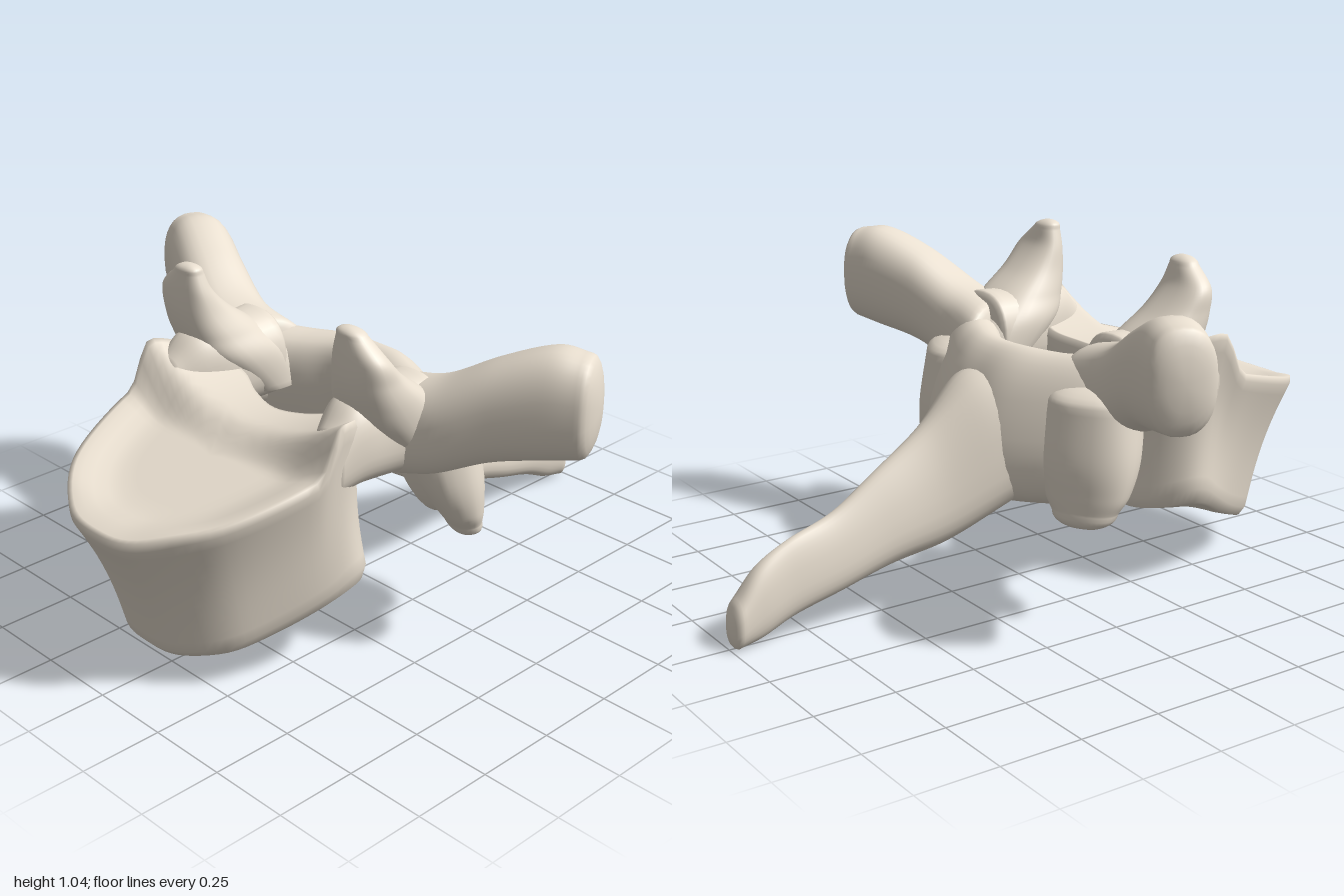
import * as THREE from 'three';
import { mergeVertices } from 'three/addons/utils/BufferGeometryUtils.js';

const bone = new THREE.MeshStandardMaterial({ color: 0xe9dfd0, roughness: 0.8 });
const V = (x, y, z) => new THREE.Vector3(x, y, z);
const step = THREE.MathUtils.smoothstep;

// Closed skin over a list of equally long rings; turned outward by its signed volume
function skin(rings) {
  const n = rings[0].length;
  const pos = rings.flat().flatMap((p) => [p.x, p.y, p.z]);
  const tris = [];
  for (let r = 0; r < rings.length - 1; r++) {
    for (let i = 0; i < n; i++) {
      const j = (i + 1) % n;
      const a = r * n + i, b = r * n + j, c = a + n, d = b + n;
      tris.push([a, b, d], [a, d, c]);
    }
  }
  const at = (i) => V(pos[3 * i], pos[3 * i + 1], pos[3 * i + 2]);
  let volume = 0;
  for (const [a, b, c] of tris) volume += at(a).dot(at(b).cross(at(c)));
  let geo = new THREE.BufferGeometry();
  geo.setAttribute('position', new THREE.Float32BufferAttribute(pos, 3));
  geo.setIndex(tris.flatMap(([a, b, c]) => (volume < 0 ? [a, c, b] : [a, b, c])));
  geo = mergeVertices(geo, 1e-5);
  geo.computeVertexNormals();
  return geo;
}

// Smooth loft. Section: [x, y, z, half size along u, half size along v, taper towards +v]
function loft(sections, u, v, cap = 0.03, side = 1) {
  const centres = new THREE.CatmullRomCurve3(sections.map((s) => V(s[0], s[1], s[2])), false, 'catmullrom');
  const sizes = new THREE.CatmullRomCurve3(sections.map((s) => V(s[3], s[4], s[5] || 0)), false, 'catmullrom');
  const ring = (t, scale, push) => {
    const c = centres.getPoint(t).addScaledVector(centres.getTangent(t), push);
    const s = sizes.getPoint(t);
    return Array.from({ length: 32 }, (_, i) => {
      const a = (i / 32) * Math.PI * 2;
      const soft = (w) => Math.sign(w) * Math.abs(w) ** 0.83;
      const h = soft(Math.sin(a));
      const p = c.clone()
        .addScaledVector(u, soft(Math.cos(a)) * s.x * (1 - s.z * h) * scale)
        .addScaledVector(v, h * s.y * scale);
      p.x *= side;
      return p;
    });
  };
  const rings = [];
  const capSteps = 6;
  for (let k = 0; k < capSteps; k++) {
    const a = (1 - k / capSteps) * Math.PI / 2;
    rings.push(ring(0, k ? Math.cos(a) : 0, -cap * Math.sin(a)));
  }
  const count = (sections.length - 1) * 8;
  for (let i = 0; i <= count; i++) rings.push(ring(i / count, 1, 0));
  for (let k = 1; k <= capSteps; k++) {
    const a = (k / capSteps) * Math.PI / 2;
    rings.push(ring(1, k < capSteps ? Math.cos(a) : 0, cap * Math.sin(a)));
  }
  return skin(rings);
}

// Heart-shaped block with tilted end plates, a raised rear rim and a foot narrowing to the front
function bodyGeometry() {
  const half = [[0, 1], [0.15, 0.972], [0.31, 0.84], [0.4, 0.645], [0.43, 0.46],
    [0.37, 0.34], [0.23, 0.26], [0.11, 0.3], [0, 0.325]];
  const mirrored = half.slice(1, -1).reverse().map(([x, z]) => [-x, z]);
  const outline = new THREE.CatmullRomCurve3(
    [...half, ...mirrored].map(([x, z]) => V(x, 0, z)), true, 'catmullrom').getPoints(96).slice(0, -1);
  const topY = (x, z) => 0.52 + 0.28 * (1 - Math.max(z, 0.48)) + 0.018 * step(-z, -1, -0.88)
    + step(-z, -0.54, -0.45) * 0.72 * x * x;
  const top = (p, s) => {
    const x = p.x * s, z = 0.58 + (p.z - 0.58) * s;
    return V(x, topY(x, z) - 0.04 * step(1 - s, 0.03, 0.4) * step(z, 0.44, 0.56), z);
  };
  const bottom = (p, s) => {
    const narrow = 0.99 - 0.19 * step(p.z, 0.35, 0.8);
    const x = p.x * s * narrow, z = 0.25 + (0.58 + (p.z - 0.58) * s - 0.26) * 0.785;
    const lift = 1.9 * Math.max(0, Math.abs(x) - 0.2) ** 2;
    return V(x, 0.24 - (z - 0.27) * 0.27 + lift + 0.025 * step(1 - s, 0.04, 0.5), z);
  };
  const wall = (p, t) => {
    const q = bottom(p, 1).lerp(top(p, 1), t);
    const waist = Math.sin(Math.PI * t);
    q.x *= 1 - 0.055 * waist;
    q.z = 0.52 + (q.z - 0.52) * (1 - 0.05 * waist);
    return q;
  };
  const rings = [];
  for (const s of [0, 0.25, 0.5, 0.7, 0.85, 0.92, 0.96]) rings.push(outline.map((p) => bottom(p, s)));
  for (let i = 0; i <= 12; i++) rings.push(outline.map((p) => wall(p, 0.06 + 0.89 * i / 12)));
  for (const s of [0.975, 0.94, 0.88, 0.8, 0.7, 0.6, 0.5, 0.4, 0.3, 0.2, 0.1, 0]) {
    rings.push(outline.map((p) => top(p, s)));
  }
  return skin(rings);
}

export function createModel() {
  const model = new THREE.Group();
  model.name = 'vertebra';
  const add = (name, geo) => {
    const mesh = new THREE.Mesh(geo, bone);
    mesh.name = name;
    model.add(mesh);
  };
  const X = V(1, 0, 0), Y = V(0, 1, 0), Z = V(0, 0, 1);

  add('vertebralBody', bodyGeometry());

  // Sloping plate that closes the canal at the rear
  const lamina = [[0.43, 0.57, 0.05, 0.17, 0.07], [0.34, 0.56, 0.02, 0.22, 0.11],
    [0.2, 0.55, -0.06, 0.23, 0.11], [0.1, 0.555, -0.11, 0.23, 0.095]];
  const flip = lamina.map(([x, ...rest]) => [-x, ...rest]).reverse();
  add('lamina', loft([...lamina, [0, 0.555, -0.125, 0.23, 0.085], ...flip],
    V(0, 0.93, 0.36), V(0, -0.36, 0.93), 0.05));

  // Long spine sloping down to the rear, sharper along its top
  add('spinousProcess', loft([
    [0, 0.53, -0.08, 0.27, 0.18, 0.2], [0, 0.475, -0.2, 0.2, 0.2, 0.35],
    [0, 0.375, -0.35, 0.13, 0.175, 0.5], [0, 0.305, -0.5, 0.084, 0.145, 0.5],
    [0, 0.23, -0.65, 0.06, 0.12, 0.4], [0, 0.18, -0.8, 0.044, 0.115, 0.3],
    [0, 0.13, -0.9, 0.046, 0.108, 0.1], [0, 0.08, -0.97, 0.05, 0.073, 0],
  ], X, Y, 0.035));

  for (const side of [1, -1]) {
    const name = (part) => (side > 0 ? 'left' : 'right') + part;

    // Bridge from the body to the arch
    add(name('Pedicle'), loft([
      [0.345, 0.67, 0.44, 0.065, 0.1], [0.335, 0.705, 0.36, 0.09, 0.13],
      [0.325, 0.7, 0.25, 0.11, 0.135], [0.335, 0.7, 0.1, 0.13, 0.14],
    ], X, Y, 0.03, side));

    // Club-shaped wing reaching out, up and back
    add(name('TransverseProcess'), loft([
      [0.31, 0.67, 0.11, 0.15, 0.14], [0.45, 0.71, 0.1, 0.13, 0.14],
      [0.6, 0.785, 0.045, 0.115, 0.15], [0.74, 0.83, -0.02, 0.11, 0.163],
      [0.83, 0.835, -0.058, 0.099, 0.15],
    ], V(0.42, 0, 0.91), Y, 0.042, side));

    // Upper joint horn, thinning and leaning forward
    add(name('SuperiorArticularProcess'), loft([
      [0.33, 0.61, 0.09, 0.125, 0.12], [0.335, 0.74, 0.19, 0.135, 0.15],
      [0.352, 0.82, 0.255, 0.122, 0.122], [0.363, 0.89, 0.308, 0.106, 0.083],
      [0.367, 0.96, 0.34, 0.092, 0.05], [0.345, 1.02, 0.35, 0.05, 0.032],
    ], X, Z, 0.025, side));

    // Lower joint blade
    add(name('InferiorArticularProcess'), loft([
      [0.35, 0.66, 0.03, 0.14, 0.12], [0.37, 0.5, -0.005, 0.15, 0.105],
      [0.39, 0.4, -0.03, 0.13, 0.075], [0.4, 0.345, -0.045, 0.1, 0.055],
    ], V(0.85, 0, 0.52), V(-0.52, 0, 0.85), 0.05, side));
  }
  return model;
}
